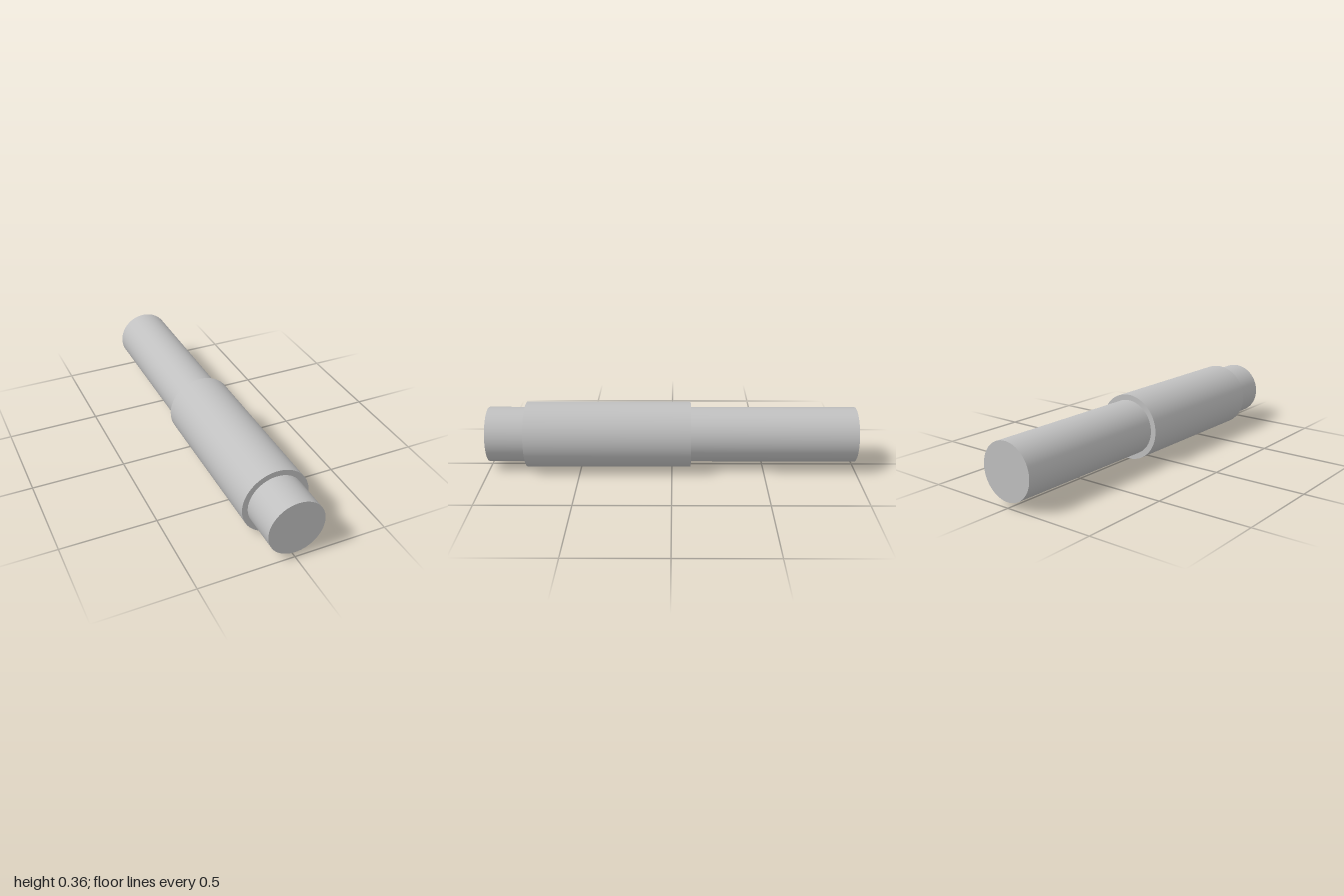
import * as THREE from 'three';

const AXIS_Y = 0.179;

// Solid round bar lying along z between two stations
function roundBar(name, radius, zBack, zFront, material) {
  const geometry = new THREE.CylinderGeometry(radius, radius, zFront - zBack, 96);
  geometry.rotateX(Math.PI / 2);
  const mesh = new THREE.Mesh(geometry, material);
  mesh.name = name;
  mesh.position.set(0, AXIS_Y, (zBack + zFront) / 2);
  return mesh;
}

export function createModel() {
  const model = new THREE.Group();
  model.name = 'steppedPin';

  const steel = new THREE.MeshStandardMaterial({ color: 0xc0c0c0 });
  steel.name = 'light grey steel';

  // Full-length shaft with a thicker sleeve set toward the front
  model.add(roundBar('shaft', 0.149, -1, 1, steel));
  model.add(roundBar('sleeve', 0.179, -0.102, 0.791, steel));

  return model;
}
